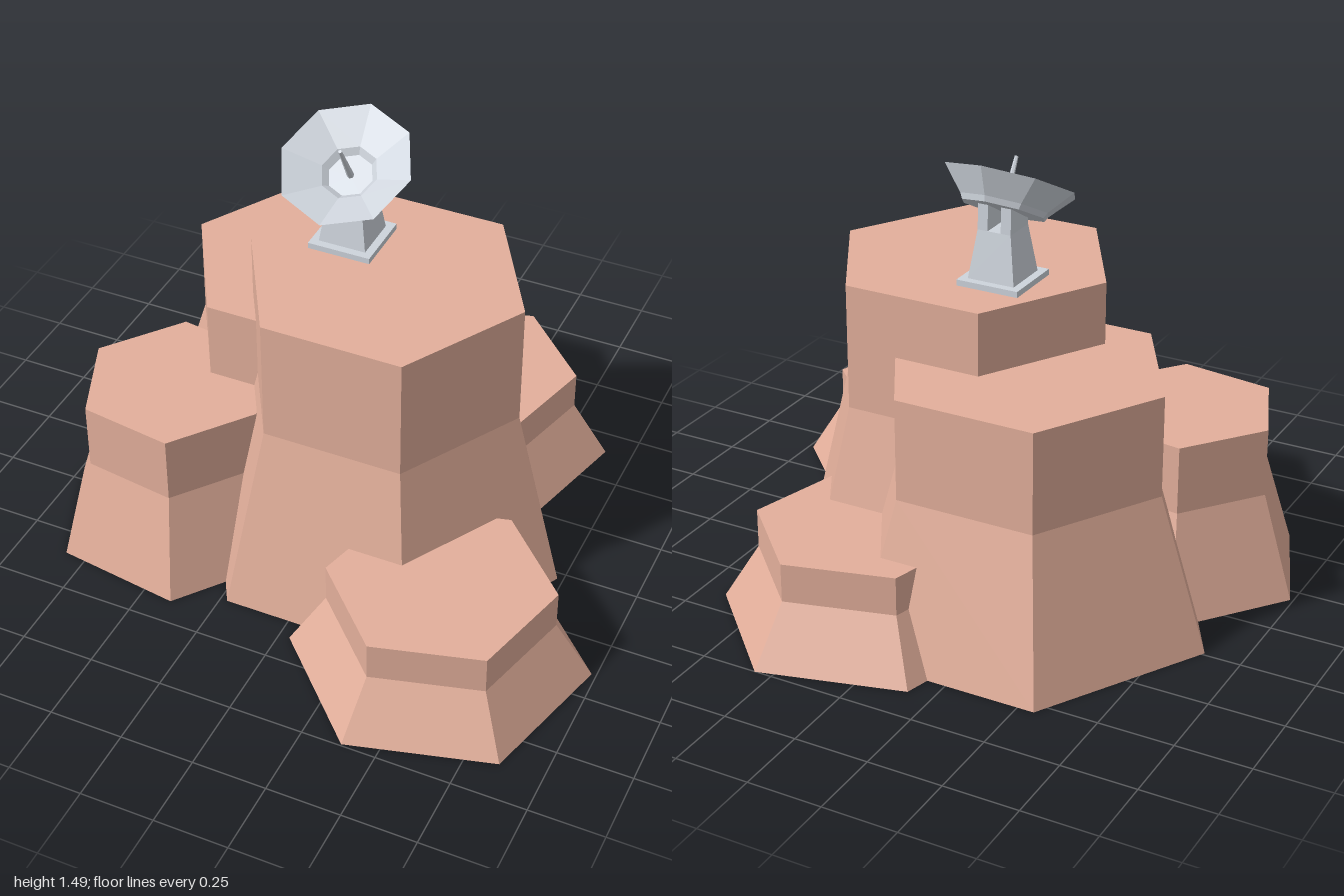
import * as THREE from 'three';

const rockMaterial = new THREE.MeshStandardMaterial({ color: 0xe3af9b, flatShading: true });
const metalMaterial = new THREE.MeshStandardMaterial({ color: 0xced4dc, flatShading: true });

function add(parent, name, geometry, material, x = 0, y = 0, z = 0) {
  const mesh = new THREE.Mesh(geometry, material);
  mesh.name = name;
  mesh.position.set(x, y, z);
  parent.add(mesh);
  return mesh;
}

// Faceted solid of revolution; profile runs from the bottom axis point to the top one
function facetedLathe(profile, sides) {
  return new THREE.LatheGeometry(profile.map(([r, y]) => new THREE.Vector2(r, y)), sides);
}

// Hexagonal butte: flared foot, upright upper part, flat top
function addRock(parent, name, { x, z, top, foot, height, angle }) {
  const profile = [[0, 0], [foot, 0], [top, height * 0.603], [top, height], [0, height]];
  const rock = add(parent, name, facetedLathe(profile, 6), rockMaterial, x, 0, z);
  rock.rotation.y = Math.PI / 2 - THREE.MathUtils.degToRad(angle);
}

// Box whose top is narrowed towards its centre
function taperedBox(bottom, top, height) {
  const geometry = new THREE.BoxGeometry(bottom, height, bottom);
  const p = geometry.attributes.position;
  for (let i = 0; i < p.count; i++) {
    if (p.getY(i) > 0) {
      p.setX(i, p.getX(i) * top / bottom);
      p.setZ(i, p.getZ(i) * top / bottom);
    }
  }
  return geometry.translate(0, height / 2, 0);
}

// Bracket cheek with its top sloping down to the front
function cheekGeometry() {
  const geometry = new THREE.BoxGeometry(0.035, 0.1, 0.116);
  const p = geometry.attributes.position;
  for (let i = 0; i < p.count; i++) {
    if (p.getY(i) > 0) {
      if (p.getZ(i) > 0) p.setY(i, -0.01);
      p.setZ(i, p.getZ(i) * 0.93);
    }
  }
  return geometry.translate(0, 0.05, 0);
}

export function createModel() {
  const model = new THREE.Group();
  model.name = 'rockOutcropWithDish';

  // Rocks
  const rocks = new THREE.Group();
  rocks.name = 'rocks';
  model.add(rocks);
  addRock(rocks, 'mainRock', { x: 0.093, z: 0.028, top: 0.472, foot: 0.637, height: 1.065, angle: 0 });
  addRock(rocks, 'backRock', { x: -0.238, z: -0.24, top: 0.472, foot: 0.637, height: 0.855, angle: 0 });
  addRock(rocks, 'sideRock', { x: -0.558, z: 0.255, top: 0.321, foot: 0.436, height: 0.585, angle: 8 });
  addRock(rocks, 'lowFrontRock', { x: 0.51, z: 0.52, top: 0.368, foot: 0.491, height: 0.33, angle: 45 });
  addRock(rocks, 'lowBackRock', { x: 0.182, z: -0.527, top: 0.368, foot: 0.491, height: 0.33, angle: 45 });

  // Antenna stand
  const antenna = new THREE.Group();
  antenna.name = 'antenna';
  antenna.position.set(-0.083, 1.065, -0.108);
  model.add(antenna);
  add(antenna, 'basePlate', new THREE.BoxGeometry(0.215, 0.02, 0.215), metalMaterial, 0, 0.01, 0);
  add(antenna, 'column', taperedBox(0.162, 0.116, 0.16), metalMaterial, 0, 0.02, 0);
  for (const side of [-1, 1]) {
    add(antenna, 'bracketCheek', cheekGeometry(), metalMaterial, side * 0.0405, 0.18, 0);
  }

  // Dish, tilted towards the front, with a sunken centre and feed rod
  const dish = new THREE.Group();
  dish.name = 'dishAssembly';
  dish.position.set(0, 0.315, 0.05);
  dish.rotation.x = Math.PI / 6;
  antenna.add(dish);
  const dishProfile = [
    [0, -0.095], [0.14, -0.095], [0.15, -0.077], [0.222, 0],
    [0.095, -0.055], [0.075, -0.075], [0, -0.075],
  ];
  add(dish, 'dish', facetedLathe(dishProfile, 8), metalMaterial);
  add(dish, 'feedRod', new THREE.CylinderGeometry(0.006, 0.012, 0.155, 6), metalMaterial, 0, 0.0025, 0);

  return model;
}
